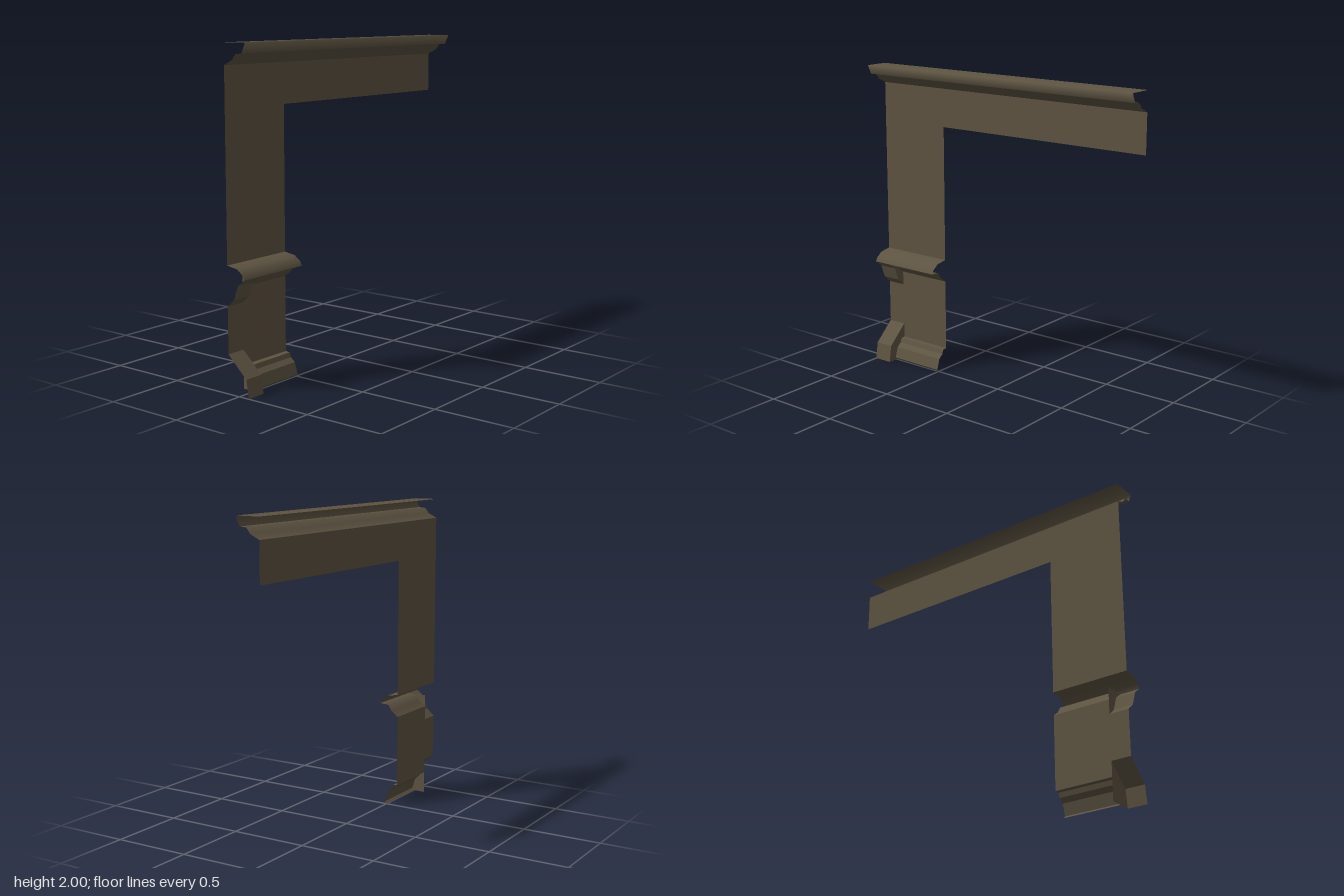
import * as THREE from 'three';

const BACK = -0.08; // plane of the wall

export function createModel() {
  const group = new THREE.Group();
  const stone = new THREE.MeshStandardMaterial({ color: 0x5e5442, side: THREE.DoubleSide });
  stone.name = 'brownStone';

  const add = (name, geometry) => {
    const mesh = new THREE.Mesh(geometry, stone);
    mesh.name = name;
    group.add(mesh);
    return mesh;
  };

  // Open sheet: a [z, y] profile, listed from top to bottom, swept along x
  const sweep = (name, profile, x0, x1, smooth = false) => {
    const facets = profile.slice(1).map(([z, y], i) =>
      new THREE.Vector3(0, z - profile[i][0], profile[i][1] - y).normalize());
    const normalAt = (i, facet) => {
      const a = facets[i - 1], b = facets[i];
      return smooth && a && b ? a.clone().add(b).normalize() : facets[facet];
    };
    const pos = [], nor = [], idx = [];
    facets.forEach((_, f) => {
      const base = pos.length / 3;
      for (const i of [f, f + 1]) {
        const n = normalAt(i, f);
        for (const x of [x0, x1]) {
          pos.push(x, profile[i][1], profile[i][0]);
          nor.push(n.x, n.y, n.z);
        }
      }
      idx.push(base, base + 2, base + 3, base, base + 3, base + 1);
    });
    const g = new THREE.BufferGeometry();
    g.setAttribute('position', new THREE.Float32BufferAttribute(pos, 3));
    g.setAttribute('normal', new THREE.Float32BufferAttribute(nor, 3));
    g.setIndex(idx);
    return add(name, g);
  };

  const flat = (points) =>
    new THREE.ShapeGeometry(new THREE.Shape(points.map(([a, b]) => new THREE.Vector2(a, b))));

  // Side cheek of a bracket, facing +x
  const cheek = (name, profile, x) => {
    const g = flat(profile.map(([z, y]) => [-z, y]));
    g.rotateY(Math.PI / 2);
    add(name, g).position.x = x;
  };

  const L = -1, R = 1, P = -0.5, B = -0.875; // left end, right end, pier edge, bracket edge

  // Pier and lintel above the dado rail
  add('upperWall', flat([[L, 0.75], [P, 0.75], [P, 1.63], [R, 1.63], [R, 1.875], [L, 1.875]]))
    .position.z = BACK;
  // Pier between rail and base, notched around the brackets
  add('lowerWall', flat([[L, 0.235], [B, 0.235], [B, 0.14], [P, 0.14], [P, 0.605],
    [B, 0.605], [B, 0.515], [L, 0.515]])).position.z = BACK;

  // Cornice along the top
  sweep('corniceTop', [[BACK, 2], [0.077, 2], [0.05, 1.942]], L, R, true);
  sweep('corniceUnderside', [[0.05, 1.942], [0.005, 1.938], [-0.02, 1.905], [BACK, 1.875]], L, R, true);

  // Rounded dado rail
  sweep('railTop', [[BACK, 0.752], [-0.005, 0.74], [0.038, 0.708], [0.05, 0.683]], L, P, true);
  sweep('railUnderside', [[0.05, 0.683], [-0.01, 0.678], [-0.035, 0.64], [BACK, 0.605]], B, P, true);

  // Base moulding
  sweep('baseMoulding', [[BACK, 0.142], [-0.05, 0.138], [-0.04, 0.11], [-0.01, 0.085],
    [0.012, 0.015], [-0.005, 0]], B, P);

  // Bracket under the rail
  const corbel = [[0.05, 0.683], [0, 0.645], [-0.03, 0.56], [BACK, 0.515]];
  sweep('railBracket', corbel, L, B);
  cheek('railBracketSide', [[BACK, 0.683], ...corbel], B);

  // Sloped plinth block at the foot
  const plinth = [[BACK, 0.235], [0.055, 0.11], [0.072, 0]];
  sweep('plinthBlock', plinth, L, B);
  cheek('plinthBlockSide', [...plinth, [BACK, 0]], B);

  return group;
}
